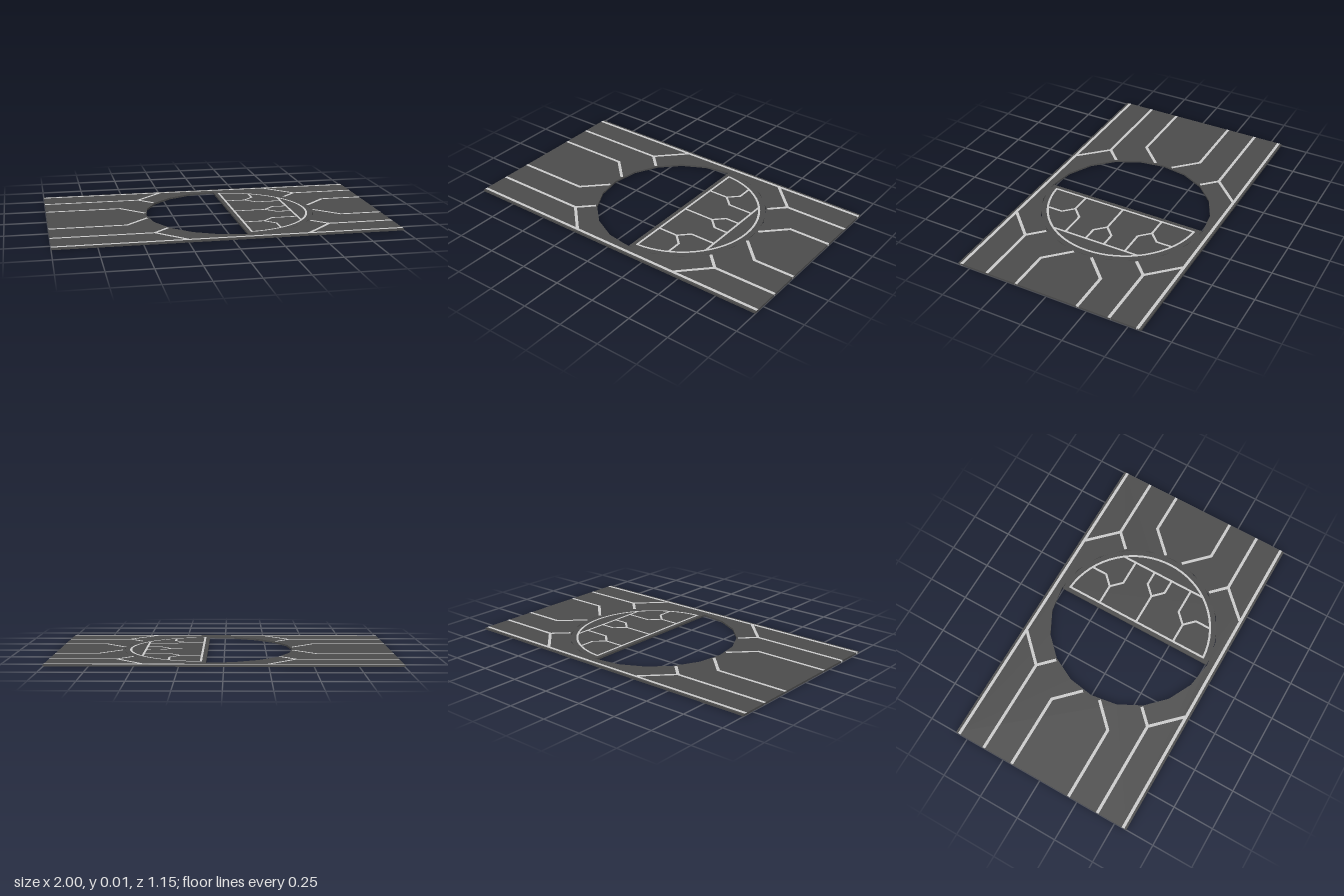
import * as THREE from 'three';

const CX = 0.1; // centre of the round opening
const TOP = 0.0115, BOTTOM = 0.0005; // dark panel faces; inlays stand slightly proud

const dark = new THREE.MeshStandardMaterial({ color: 0x4c4c4c });
const light = new THREE.MeshStandardMaterial({ color: 0xcccccc });

// Extrude a plan drawn in (x, z) between two heights
function slab(name, shape, material, bottom, top) {
  const geo = new THREE.ExtrudeGeometry(shape, { depth: top - bottom, bevelEnabled: false });
  geo.rotateX(Math.PI / 2).translate(0, top, 0);
  const mesh = new THREE.Mesh(geo, material);
  mesh.name = name;
  return mesh;
}

// Ribbon of constant width along a polyline, with mitred corners
function strip(name, points, width) {
  const pts = points.map(([x, z]) => new THREE.Vector2(x, z));
  const normal = (a, b) => new THREE.Vector2(a.y - b.y, b.x - a.x).normalize();
  const left = [], right = [];
  pts.forEach((p, i) => {
    const n0 = normal(pts[Math.max(i - 1, 0)], pts[Math.max(i, 1)]);
    const last = pts.length - 1;
    const n1 = normal(pts[Math.min(i, last - 1)], pts[Math.min(i + 1, last)]);
    const m = n0.clone().add(n1).normalize();
    m.multiplyScalar(width / 2 / m.dot(n0));
    left.push(p.clone().add(m));
    right.unshift(p.clone().sub(m));
  });
  return slab(name, new THREE.Shape([...left, ...right]), light, 0, 0.012);
}

// Points on an arc about the opening's centre
function arc(radius, from, to, segments) {
  return Array.from({ length: segments + 1 }, (_, i) => {
    const a = from + (to - from) * i / segments;
    return [CX + radius * Math.cos(a), radius * Math.sin(a)];
  });
}
const toVectors = (list) => list.map(([x, z]) => new THREE.Vector2(x, z));

export function createModel() {
  const model = new THREE.Group();
  model.name = 'inlaidPanel';

  // Rectangular plate with a twenty-sided opening
  const plate = new THREE.Shape(toVectors([[-1, -0.577], [1, -0.577], [1, 0.577], [-1, 0.577]]));
  plate.holes.push(new THREE.Path(toVectors(arc(0.51, 0, Math.PI * 2, 20).slice(0, 20))));
  model.add(slab('plate', plate, dark, BOTTOM, TOP));

  // Inlays on the plate, mirrored front to back and about the opening
  const plateInlays = new THREE.Group();
  plateInlays.name = 'plateInlays';
  const W = 0.018;
  for (const s of [-1, 1]) {
    plateInlays.add(strip('borderInlay', [[-1, s * 0.555], [1, s * 0.555]], W));
    for (const side of [-1, 1]) {
      const end = side;
      const place = (name, points) => plateInlays.add(strip(name,
        points.map(([d, z]) => [d === null ? end : CX + side * d, s * z]), W));
      place('outerInlay', [[null, 0.385], [0.512, 0.385], [0.35, 0.55]]);
      place('outerBranch', [[0.512, 0.385], [0.424, 0.297]]);
      place('innerInlay', [[null, 0.193], [0.648, 0.193], [0.512, 0.057]]);
    }
  }
  model.add(plateInlays);

  // Half disc filling one side of the opening
  const q = Math.PI / 2;
  model.add(slab('halfDisc', new THREE.Shape(toVectors(arc(0.505, -q, q, 32))), dark, BOTTOM, TOP));

  // Inlays on the half disc
  const discInlays = new THREE.Group();
  discInlays.name = 'discInlays';
  const w = 0.013, X = 0.13, X2 = 0.475;
  const a = Math.acos((X - CX) / 0.468);
  discInlays.add(
    strip('rimInlay', arc(0.468, -a, a, 32), w),
    strip('straightInlay', [[X, -0.473], [X, 0.473]], w),
    strip('crossInlay', [[X2, -0.282], [X2, 0.282]], w),
    strip('centreInlay', [[X, 0], [0.325, 0]], w),
  );
  for (const s of [-1, 1]) {
    discInlays.add(
      strip('centreFork', [[0.325, 0], [0.385, s * 0.06], [X2, s * 0.06]], w),
      strip('cornerInlay', [[X, s * 0.258], [0.255, s * 0.258], [0.315, s * 0.318], [0.315, s * 0.412]], w),
      strip('cornerFork', [[0.255, s * 0.258], [0.317, s * 0.196], [X2, s * 0.196]], w),
    );
  }
  model.add(discInlays);
  return model;
}
